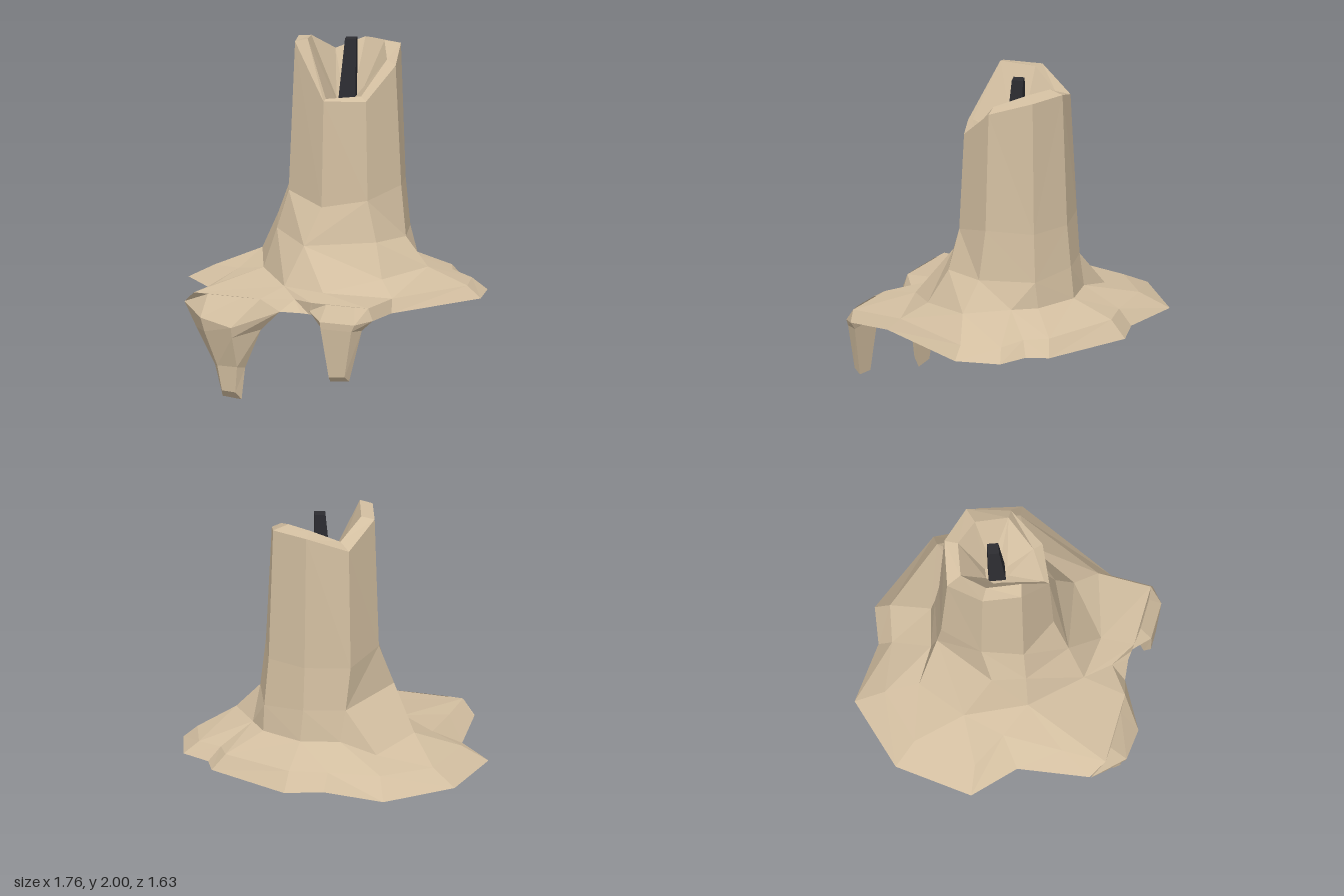
import * as THREE from 'three';

const wax = new THREE.MeshStandardMaterial({ color: 0xd2bea0, flatShading: true, side: THREE.DoubleSide });
wax.name = 'wax';
const char = new THREE.MeshStandardMaterial({ color: 0x2c2c31, flatShading: true });
char.name = 'charredWick';

const CX = 0.05, CZ = -0.1;
const angle = (p) => Math.atan2(p[0] - CX, p[2] - CZ);
const byAngle = (ring) => [...ring].sort((a, b) => angle(a) - angle(b));

// Joins closed rings (lowest / outermost first) that may differ in point count
function loftByAngle(rings) {
  const out = [];
  const sorted = rings.map(byAngle);
  for (let r = 0; r + 1 < sorted.length; r++) {
    const a = sorted[r], b = sorted[r + 1];
    const at = (ring, i) => ring[i % ring.length];
    const turn = (ring, i) => angle(at(ring, i)) + (i >= ring.length ? 2 * Math.PI : 0);
    let i = 0, j = 0;
    while (i < a.length || j < b.length) {
      const stepA = j >= b.length || (i < a.length && turn(a, i + 1) <= turn(b, j + 1));
      if (stepA) out.push(at(a, i), at(a, i + 1), at(b, j)), i++;
      else out.push(at(a, i), at(b, j + 1), at(b, j)), j++;
    }
  }
  return out;
}

// Joins cross-sections with equal counts, top to bottom, and caps the bottom
function loftSections(sections) {
  const out = [], n = sections[0].length;
  for (let s = 0; s + 1 < sections.length; s++) {
    const t = sections[s], b = sections[s + 1];
    for (let i = 0; i < n; i++) {
      const k = (i + 1) % n;
      out.push(b[i], b[k], t[k], b[i], t[k], t[i]);
    }
  }
  const e = sections[sections.length - 1];
  for (let i = 1; i + 1 < n; i++) out.push(e[0], e[i + 1], e[i]);
  return out;
}

function mesh(name, triangles, material) {
  const g = new THREE.BufferGeometry();
  g.setAttribute('position', new THREE.Float32BufferAttribute(triangles.flat(), 3));
  g.computeVertexNormals();
  const m = new THREE.Mesh(g, material);
  m.name = name;
  return m;
}

export function createModel() {
  const group = new THREE.Group();
  group.name = 'meltedCandle';

  // Rings run front, front right, right, and so on round to front left
  const rim = [[.07, 1.67, .21], [.29, 1.67, .11], [.375, 1.85, -.1], [.29, 1.93, -.34],
    [.07, 1.93, -.41], [-.16, 1.85, -.33], [-.24, 1.97, -.1], [-.16, 1.98, .11]];
  const waist = [[.07, 1.06, .235], [.31, 1.1, .13], [.41, 1.16, -.1], [.31, 1.15, -.36],
    [.07, 1.15, -.44], [-.18, 1.15, -.36], [-.265, 1.2, -.1], [-.19, 1.12, .13]];
  const flare = [[.01, .85, .34], [.38, .87, .16], [.45, .87, -.08], [.33, .87, -.38],
    [.07, .9, -.465], [-.16, .9, -.39], [-.33, .95, -.02], [-.25, .9, .16]];
  const foot = [[-.06, .63, .45], [.2, .62, .48], [.46, .68, .25], [.6, .71, -.06], [.43, .72, -.28],
    [.33, .72, -.4], [.08, .72, -.49], [-.14, .72, -.43], [-.36, .67, -.44], [-.49, .71, -.14], [-.32, .67, .19]];

  // Spread of wax round the foot
  const shoulder = [[-.51, .6, .445], [-.51, .6, .7], [-.09, .6, .7], [.07, .59, .58], [.22, .6, .67],
    [.58, .6, .67], [.58, .6, .36], [.8, .6, -.16], [.72, .6, -.38], [.57, .61, -.44], [.5, .62, -.57],
    [.07, .63, -.73], [-.14, .62, -.66], [-.44, .62, -.62], [-.68, .61, -.38], [-.73, .61, -.01], [-.52, .63, .1]];
  const edge = [[-.66, .53, .22], [-.6, .53, .63], [.02, .53, .67], [.145, .53, .655], [.2, .53, .66],
    [.61, .53, .67], [.61, .53, .43], [.88, .53, -.17], [.8, .53, -.42], [.63, .53, -.49], [.57, .53, -.61],
    [.07, .53, -.82], [-.14, .53, -.74], [-.51, .53, -.78], [-.83, .53, -.45], [-.885, .53, .01]];
  group.add(mesh('waxSpread', loftByAngle([edge, shoulder, foot]), wax));
  group.add(mesh('candleColumn', loftByAngle([foot, flare, waist, rim]), wax));

  // Hollow at the top
  const lip = [[.07, 1.68, .18], [.24, 1.69, .07], [.32, 1.88, -.1], [.22, 1.95, -.27],
    [.07, 1.95, -.33], [-.09, 1.88, -.27], [-.16, 1.98, -.1], [-.09, 2, .09]];
  const floor = [], centre = [];
  for (let i = 0; i < 8; i++) {
    const a = i * Math.PI / 4;
    floor.push([.07 + .07 * Math.sin(a), 1.63, -.1 + .07 * Math.cos(a)]);
    centre.push([.07 + .002 * Math.sin(a), 1.62, -.1 + .002 * Math.cos(a)]);
  }
  group.add(mesh('meltedHollow', loftByAngle([rim, lip, floor, centre]), wax));

  // Drips hanging over the front edge: back left, front left, front right, back right
  const largeDrip = [
    [[-.51, .6, .7], [-.42, .6, .705], [-.2, .6, .705], [-.09, .6, .7]],
    [[-.6, .53, .64], [-.42, .48, .8], [-.22, .44, .815], [.02, .53, .67]],
    [[-.5, .4, .69], [-.4, .4, .79], [-.22, .38, .8], [-.09, .42, .69]],
    [[-.38, .19, .69], [-.34, .2, .745], [-.215, .2, .745], [-.19, .19, .69]],
    [[-.33, .015, .695], [-.315, .055, .735], [-.23, .05, .735], [-.21, .005, .695]]];
  const smallDrip = [
    [[.22, .6, .67], [.32, .6, .68], [.5, .6, .68], [.58, .6, .67]],
    [[.2, .55, .66], [.31, .51, .745], [.53, .51, .745], [.61, .53, .67]],
    [[.28, .47, .68], [.315, .47, .745], [.51, .47, .745], [.545, .47, .68]],
    [[.35, .16, .69], [.36, .19, .73], [.46, .2, .73], [.47, .17, .69]]];
  group.add(mesh('largeDrip', loftSections(largeDrip), wax));
  group.add(mesh('smallDrip', loftSections(smallDrip), wax));

  // Wick, tapered and leaning slightly back
  const section = (x, y, z, r) => [0, 1, 2, 3].map((i) => {
    const a = i * Math.PI / 2 - Math.PI / 4 + 0.35;
    return [x + r * Math.sin(a), y, z + r * Math.cos(a)];
  });
  const wick = [section(.08, 1.98, -.125, .045), section(.07, 1.62, -.1, .07)];
  const [a, b, c, d] = wick[0];
  group.add(mesh('wick', [...loftSections(wick), a, b, c, a, c, d], char));
  return group;
}
